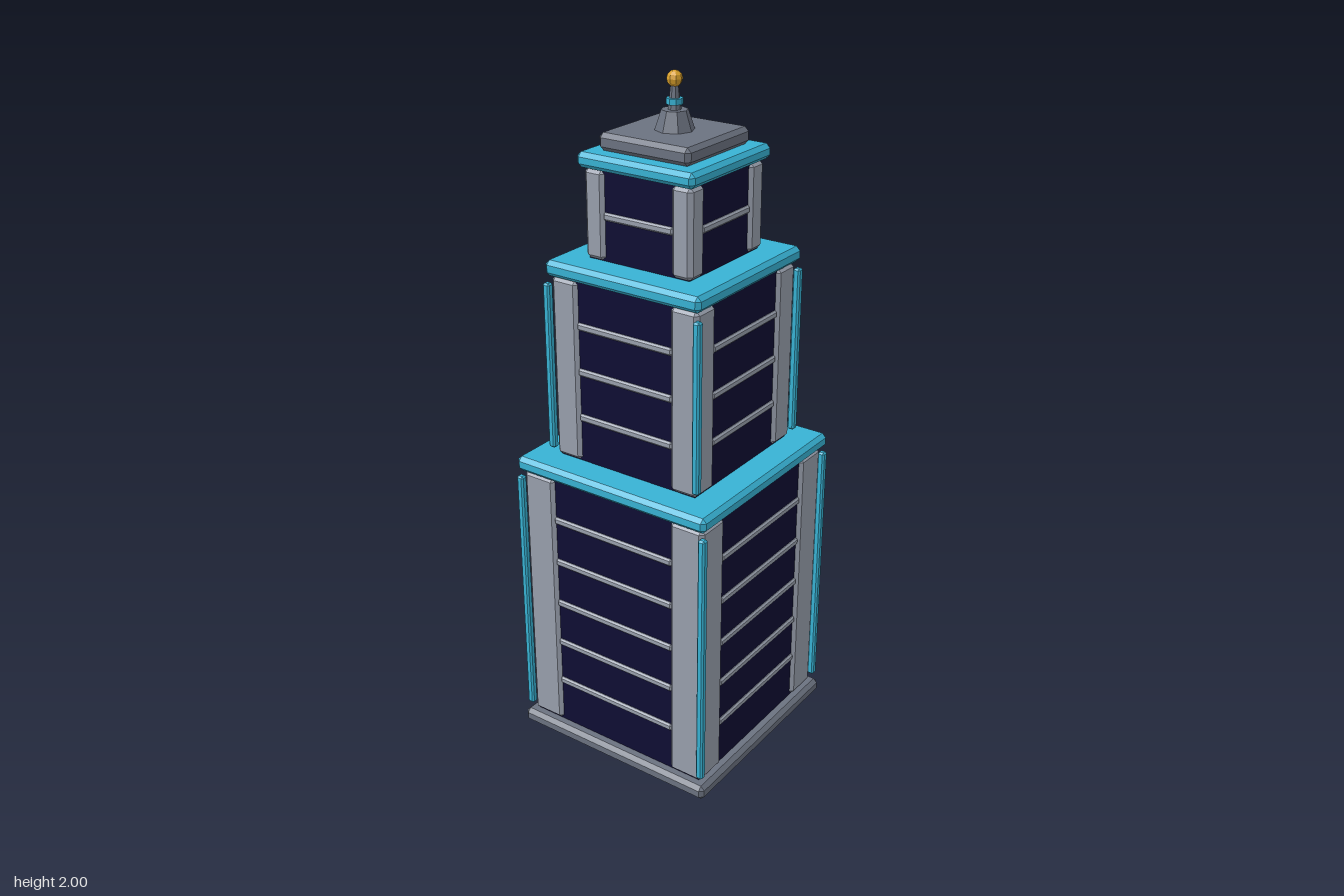
import * as THREE from 'three';
import { ConvexGeometry } from 'three/addons/geometries/ConvexGeometry.js';

const mat = (name, color) => {
  const m = new THREE.MeshStandardMaterial({ color });
  m.name = name;
  return m;
};

// Box with every edge chamfered by b
function chamferBox(w, h, d, b) {
  const half = [w / 2, h / 2, d / 2];
  const points = [];
  for (const sx of [-1, 1]) for (const sy of [-1, 1]) for (const sz of [-1, 1]) {
    for (let full = 0; full < 3; full++) {
      const p = half.map((v, i) => (i === full ? v : v - b));
      points.push(new THREE.Vector3(sx * p[0], sy * p[1], sz * p[2]));
    }
  }
  return new ConvexGeometry(points);
}

export function createModel() {
  const stone = mat('light stone', 0x989fad);
  const slate = mat('slate grey', 0x6b7280);
  const glass = mat('navy glass', 0x0e0d33);
  const cyan = mat('cyan trim', 0x38b2d4);
  const gold = mat('gold', 0xd9a02b);

  const model = new THREE.Group();
  model.name = 'skyscraper';
  const tower = new THREE.Group();
  tower.name = 'tower';
  tower.position.z = 0.0065;
  model.add(tower);

  const add = (parent, name, geometry, material, x, y, z) => {
    const mesh = new THREE.Mesh(geometry, material);
    mesh.name = name;
    mesh.position.set(x, y, z);
    parent.add(mesh);
    return mesh;
  };
  // Square chamfered slab between two heights
  const slab = (name, half, y0, y1, b, material) =>
    add(tower, name, chamferBox(half * 2, y1 - y0, half * 2, b), material, 0, (y0 + y1) / 2, 0);

  slab('baseSlab', 0.332, 0, 0.045, 0.012, slate);

  // Three stacked tiers: glass core, corner piers, floor bands, trim and cornice
  const tiers = [
    { y0: 0.045, y1: 0.877, outer: 0.31, inner: 0.2, top: 0.922, cornice: 0.324,
      bands: [0.19, 0.328, 0.465, 0.605, 0.743], strip: [0.07, 0.86, 0.314] },
    { y0: 0.922, y1: 1.46, outer: 0.241, inner: 0.152, top: 1.505, cornice: 0.253,
      bands: [1.057, 1.195, 1.33], strip: [0.945, 1.44, 0.246] },
    { y0: 1.505, y1: 1.755, outer: 0.173, inner: 0.107, top: 1.797, cornice: 0.187,
      bands: [1.63] },
  ];
  tiers.forEach((t, i) => {
    const group = new THREE.Group();
    group.name = `tier${i + 1}`;
    tower.add(group);
    const h = t.y1 - t.y0;
    const mid = (t.y0 + t.y1) / 2;
    const core = (t.outer - 0.01) * 2;
    add(group, 'glassCore', new THREE.BoxGeometry(core, h, core), glass, 0, mid, 0);

    const w = t.outer - t.inner;
    const c = (t.outer + t.inner) / 2;
    const pier = chamferBox(w, h, w, 0.012);
    for (const sx of [-1, 1]) for (const sz of [-1, 1]) {
      add(group, 'cornerPier', pier, stone, sx * c, mid, sz * c);
      if (t.strip) {
        const [s0, s1, p] = t.strip;
        add(group, 'cornerTrim', chamferBox(0.022, s1 - s0, 0.022, 0.005), cyan,
          sx * p, (s0 + s1) / 2, sz * p);
      }
    }

    // Floor bands on all four sides
    const band = chamferBox(t.inner * 2 + 0.01, 0.022, 0.02, 0.005);
    for (const y of t.bands) for (let k = 0; k < 4; k++) {
      const a = k * Math.PI / 2;
      const r = t.outer - 0.013;
      add(group, 'floorBand', band, stone, Math.sin(a) * r, y, Math.cos(a) * r).rotation.y = a;
    }
    slab('cornice', t.cornice, t.y1, t.top, 0.012, cyan);
  });

  // Roof and spire
  slab('roofSlab', 0.145, 1.797, 1.845, 0.012, slate);
  const turned = (name, r0, r1, y0, y1, material) =>
    add(tower, name, new THREE.CylinderGeometry(r1, r0, y1 - y0, 8).toNonIndexed(),
      material, 0, (y0 + y1) / 2, 0).geometry.computeVertexNormals();
  turned('spireBase', 0.054, 0.036, 1.845, 1.898, slate);
  turned('mast', 0.018, 0.01, 1.898, 1.97, slate);
  turned('mastRing', 0.023, 0.023, 1.912, 1.928, cyan);
  const ball = new THREE.SphereGeometry(0.022, 8, 6).toNonIndexed();
  ball.computeVertexNormals();
  add(tower, 'finial', ball, gold, 0, 1.978, 0);

  // Rear entrance
  const entrance = new THREE.Group();
  entrance.name = 'entrance';
  model.add(entrance);
  add(entrance, 'door', chamferBox(0.145, 0.16, 0.04, 0.005), glass, 0, 0.122, -0.299);
  add(entrance, 'canopy', chamferBox(0.207, 0.022, 0.05, 0.005), cyan, 0, 0.209, -0.315);
  add(entrance, 'signPlate', new THREE.BoxGeometry(0.11, 0.034, 0.03), gold, 0, 0.242, -0.306);

  return model;
}
